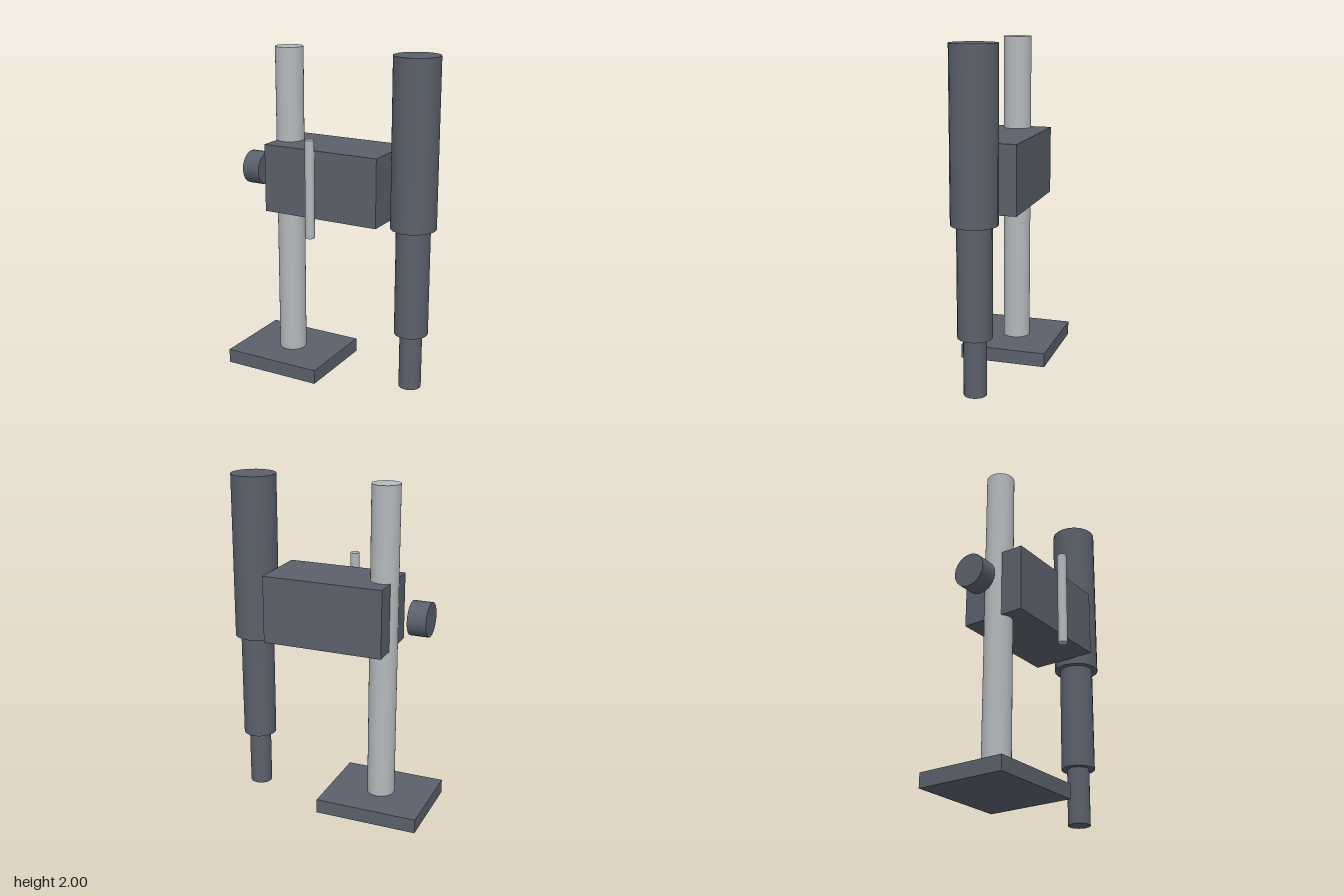
import * as THREE from 'three';

const dark = new THREE.MeshStandardMaterial({ color: 0x5a606b });
const light = new THREE.MeshStandardMaterial({ color: 0xb4b9bc });
const AXIS_Z = -0.009; // depth of the shared centre line

export function createModel() {
  const model = new THREE.Group();
  model.name = 'standMountedTool';

  const add = (name, geometry, material, x, y, z) => {
    const mesh = new THREE.Mesh(geometry, material);
    mesh.name = name;
    mesh.position.set(x, y, z);
    model.add(mesh);
    return mesh;
  };
  // Block given by its extents
  const block = (name, x0, x1, y0, y1, depth) =>
    add(name, new THREE.BoxGeometry(x1 - x0, y1 - y0, depth), dark,
      (x0 + x1) / 2, (y0 + y1) / 2, AXIS_Z);
  // Upright round bar from y0 to y1
  const bar = (name, material, r, x, y0, y1, z = AXIS_Z, sides = 20) =>
    add(name, new THREE.CylinderGeometry(r, r, y1 - y0, sides), material, x, (y0 + y1) / 2, z);

  // Stand
  block('base', -0.64, -0.012, 0, 0.087, 0.542);
  bar('column', light, 0.084, -0.328, 0.087, 2, AXIS_Z, 32);

  // Carriage clamped on the column, with its knob and the front rod
  block('carriage', -0.385, 0.357, 1.03, 1.44, 0.4);
  const knob = add('knob', new THREE.CylinderGeometry(0.102, 0.102, 0.113, 20), dark,
    -0.557, 1.237, AXIS_Z);
  knob.rotation.z = Math.PI / 2;
  bar('frontRod', light, 0.028, -0.042, 0.93, 1.515, 0.247);

  // Stepped barrel, top to bottom
  const barrelX = 0.501;
  bar('upperBarrel', dark, 0.136, barrelX, 1.003, 2);
  bar('middleBarrel', dark, 0.102, barrelX, 0.347, 1.003);
  bar('tip', dark, 0.068, barrelX, 0, 0.347);

  return model;
}
